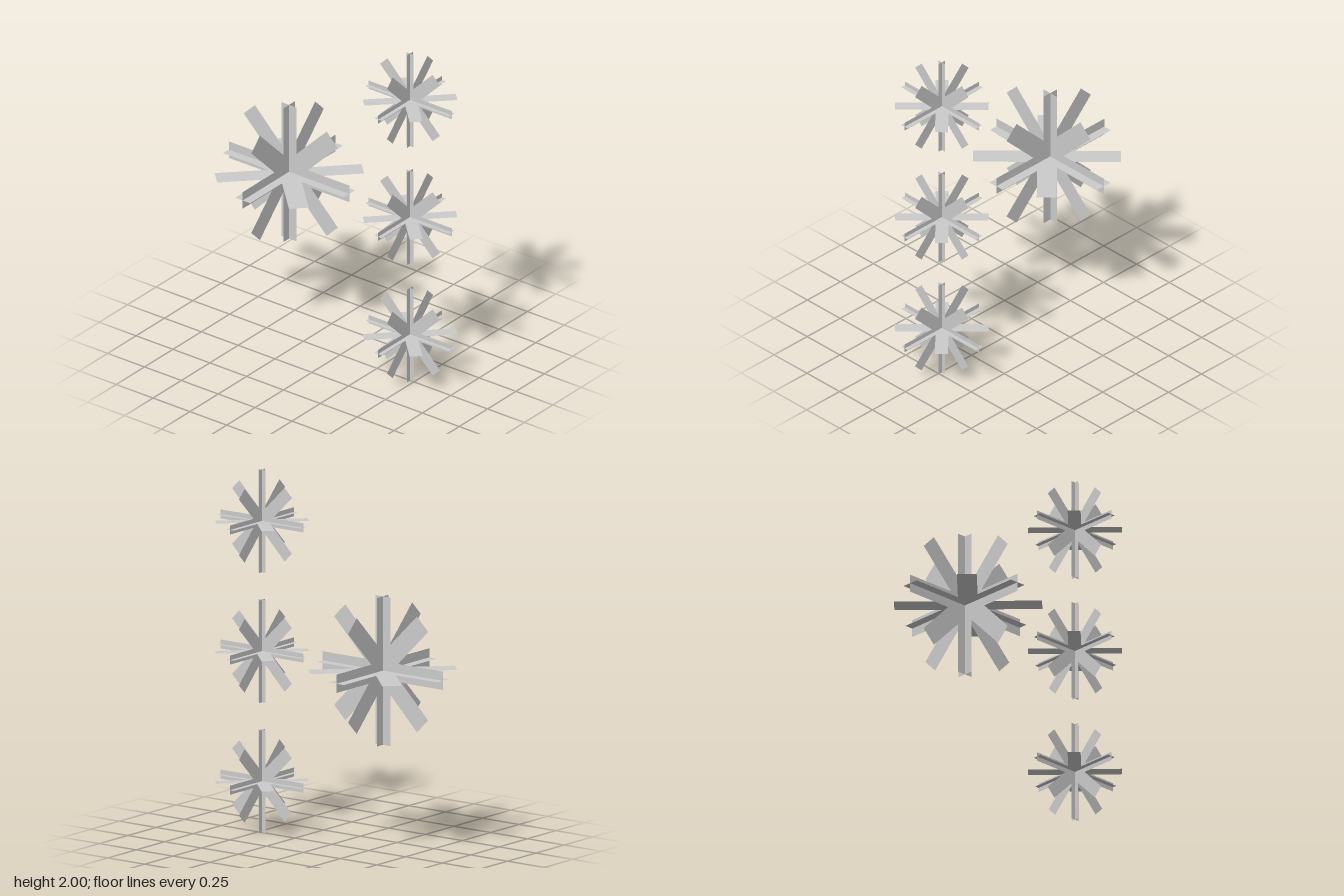
import * as THREE from 'three';

const material = new THREE.MeshStandardMaterial({ color: 0xcccccc, side: THREE.DoubleSide, flatShading: true });

// Flat eight-armed star. The diagonal arms have their own length and width,
// and cross at the point (du, dv).
function starGeometry({ straight, diagonal }, du, dv) {
  const arms = Array.from({ length: 8 }, (_, k) => {
    const angle = k * Math.PI / 4;
    const { reach, width } = k % 2 ? diagonal : straight;
    const origin = k % 2 ? new THREE.Vector2(du, dv) : new THREE.Vector2();
    const dir = new THREE.Vector2(Math.cos(angle), Math.sin(angle));
    const side = new THREE.Vector2(-dir.y, dir.x).multiplyScalar(width / 2);
    return { dir, reach, right: origin.clone().sub(side), left: origin.clone().add(side) };
  });
  const points = [];
  arms.forEach((arm, k) => {
    const next = arms[(k + 1) % 8];
    // Two tip corners, then the notch where this arm meets the next
    points.push(arm.right.clone().addScaledVector(arm.dir, arm.reach));
    points.push(arm.left.clone().addScaledVector(arm.dir, arm.reach));
    const t = next.right.clone().sub(arm.left).cross(next.dir) / arm.dir.cross(next.dir);
    points.push(arm.left.clone().addScaledVector(arm.dir, t));
  });
  return new THREE.ShapeGeometry(new THREE.Shape(points));
}

// Burst made of three stars at right angles to one another
function createBurst(name, size, shift, position) {
  const burst = new THREE.Group();
  burst.name = name;
  const [x, y, z] = shift;
  const planes = {
    frontStar: starGeometry(size, x, y),
    sideStar: starGeometry(size, z, y).rotateY(-Math.PI / 2),
    levelStar: starGeometry(size, x, z).rotateX(Math.PI / 2),
  };
  for (const [part, geometry] of Object.entries(planes)) {
    const mesh = new THREE.Mesh(geometry, material);
    mesh.name = part;
    burst.add(mesh);
  }
  burst.position.set(...position);
  return burst;
}

export function createModel() {
  const model = new THREE.Group();
  model.name = 'starBursts';

  const small = { straight: { reach: 0.283, width: 0.05 }, diagonal: { reach: 0.252, width: 0.07 } };
  const large = { straight: { reach: 0.409, width: 0.101 }, diagonal: { reach: 0.398, width: 0.107 } };

  // Column of small bursts at the front
  ['lowerBurst', 'middleBurst', 'upperBurst'].forEach((name, i) =>
    model.add(createBurst(name, small, [0, 0, 0], [0, 0.283 + i * 0.717, 0.474])));

  // Large burst behind
  model.add(createBurst('largeBurst', large, [-0.013, 0.011, 0.012], [0, 1.005, -0.347]));

  return model;
}
